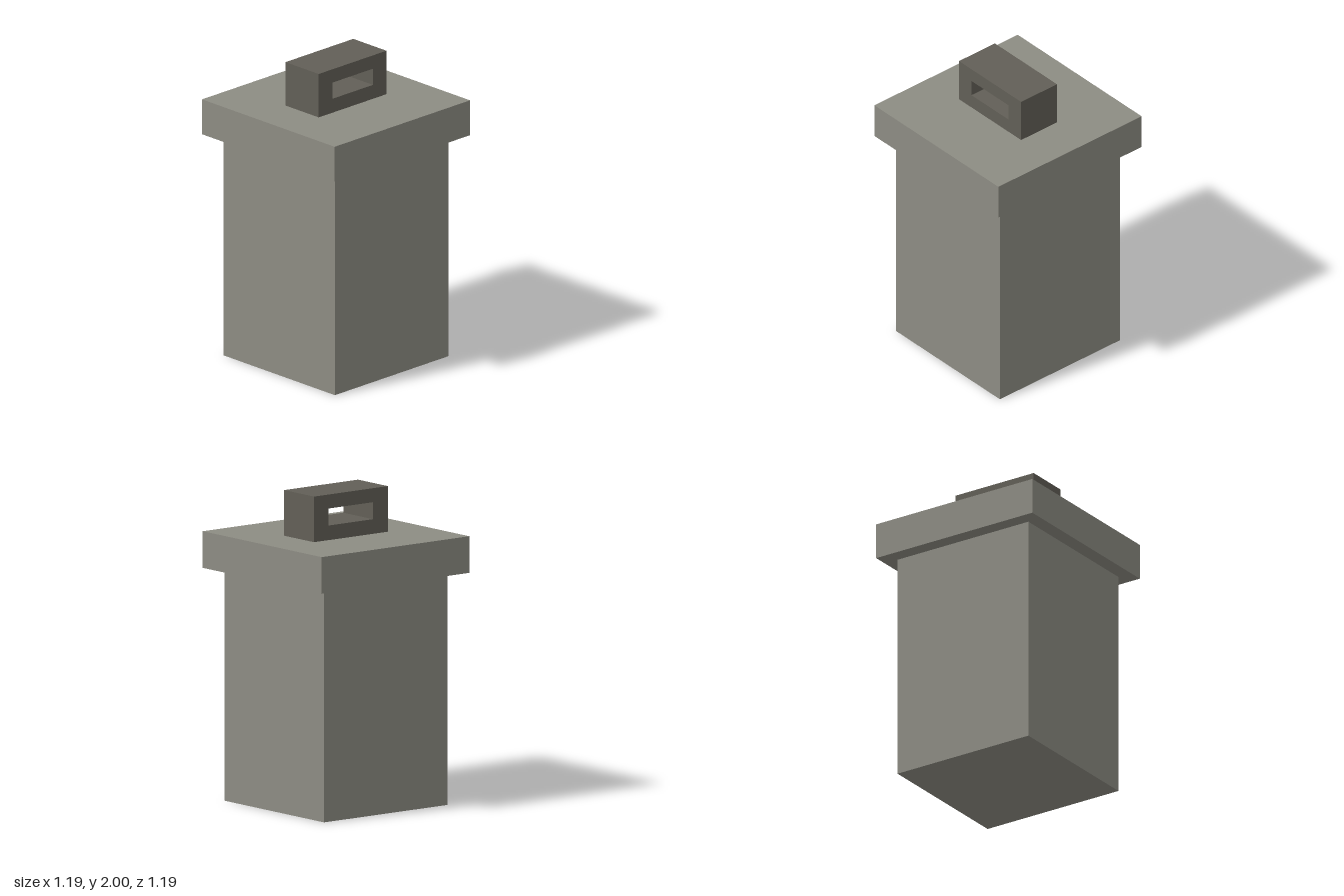
import * as THREE from 'three';

export function createModel() {
  const model = new THREE.Group();
  model.name = 'liddedBin';

  const stone = new THREE.MeshStandardMaterial({ color: 0x8d8c83 });
  stone.name = 'warm grey';
  const dark = new THREE.MeshStandardMaterial({ color: 0x625f57 });
  dark.name = 'dark grey';

  const add = (name, geometry, material, y) => {
    const mesh = new THREE.Mesh(geometry, material);
    mesh.name = name;
    mesh.position.y = y;
    model.add(mesh);
    return mesh;
  };

  // Square body and overhanging lid
  const bodyTop = 1.477, lidTop = 1.71;
  add('body', new THREE.BoxGeometry(0.994, bodyTop, 0.994), stone, bodyTop / 2);
  add('lid', new THREE.BoxGeometry(1.186, lidTop - bodyTop, 1.186), stone, (bodyTop + lidTop) / 2);

  // Block handle with a slot running front to back
  const rectangle = (path, halfWidth, bottom, top) => path
    .moveTo(-halfWidth, bottom).lineTo(halfWidth, bottom)
    .lineTo(halfWidth, top).lineTo(-halfWidth, top).closePath();
  const outline = new THREE.Shape();
  rectangle(outline, 0.297, 0, 2 - lidTop);
  const slot = new THREE.Path();
  rectangle(slot, 0.178, 0.093, 0.201);
  outline.holes.push(slot);
  const depth = 0.297;
  const handle = new THREE.ExtrudeGeometry(outline, { depth, bevelEnabled: false });
  handle.translate(0, 0, -depth / 2);
  add('handle', handle, dark, lidTop);

  return model;
}
